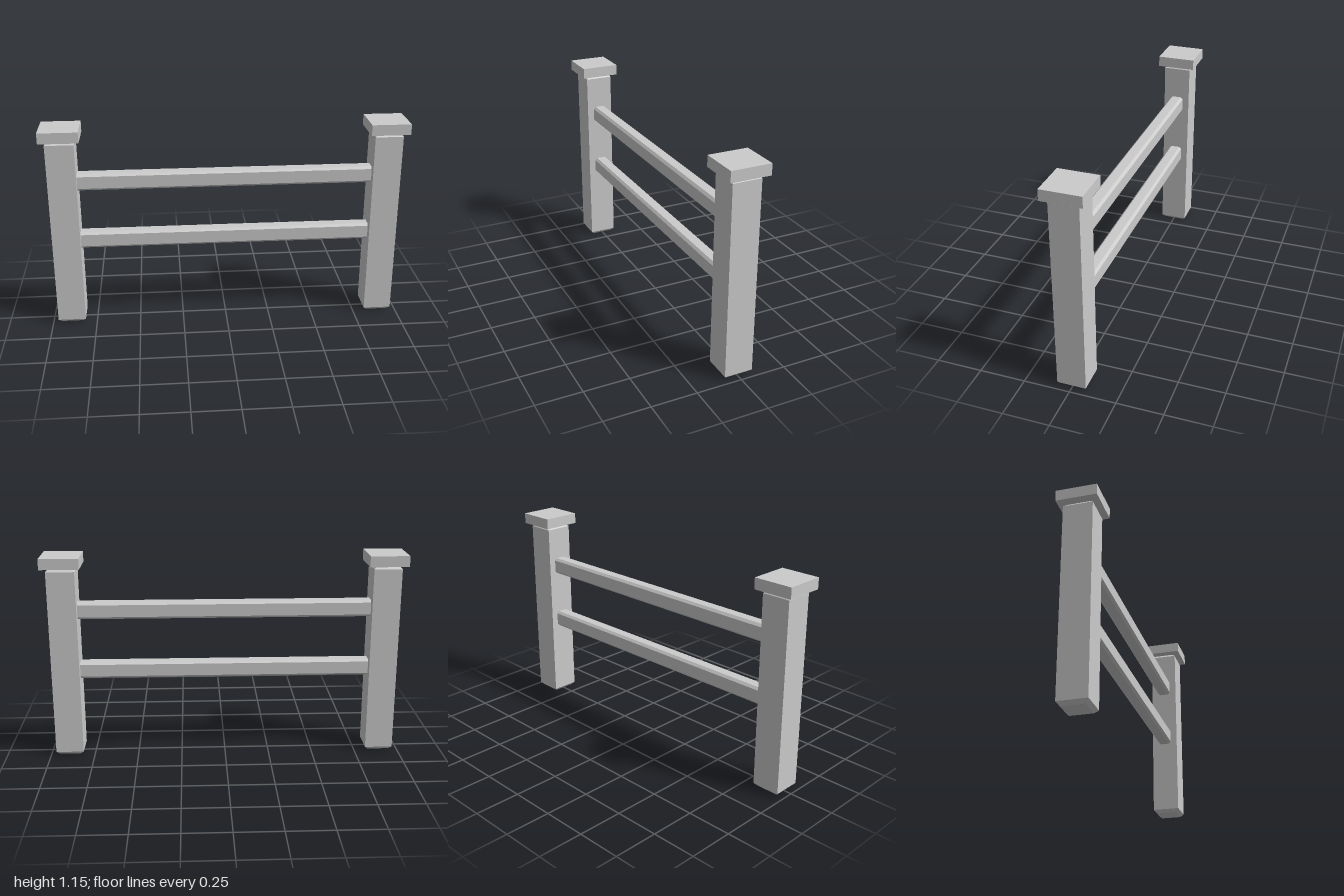
import * as THREE from 'three';

const material = new THREE.MeshStandardMaterial({ color: 0xcccccc, flatShading: true });

function part(name, geometry, x, y) {
  const mesh = new THREE.Mesh(geometry, material);
  mesh.name = name;
  mesh.position.set(x, y, 0);
  return mesh;
}

function polygon(points) {
  return new THREE.Shape(points.map(([x, y]) => new THREE.Vector2(x, y)));
}

// Square post standing on y = 0, chamfered around its top and bottom ends
function postGeometry(half, height, chamfer) {
  const h = half - chamfer;
  return new THREE.ExtrudeGeometry(polygon([[-h, -h], [h, -h], [h, h], [-h, h]]), {
    depth: height - 2 * chamfer,
    bevelSize: chamfer,
    bevelThickness: chamfer,
    bevelSegments: 1,
  }).rotateX(-Math.PI / 2).translate(0, chamfer, 0);
}

// Rail along x with its four long edges chamfered
function railGeometry(length, halfDepth, halfHeight, c) {
  const d = halfDepth, h = halfHeight;
  const section = polygon([
    [-d + c, -h], [d - c, -h], [d, -h + c], [d, h - c],
    [d - c, h], [-d + c, h], [-d, h - c], [-d, -h + c],
  ]);
  return new THREE.ExtrudeGeometry(section, { depth: length, bevelEnabled: false })
    .translate(0, 0, -length / 2).rotateY(Math.PI / 2);
}

export function createModel() {
  const fence = new THREE.Group();
  fence.name = 'fence';

  // Capped posts at both ends
  const post = postGeometry(0.078, 1.09, 0.019);
  const cap = new THREE.BoxGeometry(0.216, 0.06, 0.216);
  for (const [side, x] of [['left', 0.892], ['right', -0.892]]) {
    fence.add(part(side + 'Post', post, x, 0));
    fence.add(part(side + 'PostCap', cap, x, 1.12));
  }

  // Two horizontal rails between the posts
  const rail = railGeometry(1.63, 0.039, 0.047, 0.013);
  fence.add(part('upperRail', rail, 0, 0.841));
  fence.add(part('lowerRail', rail, 0, 0.496));

  return fence;
}
